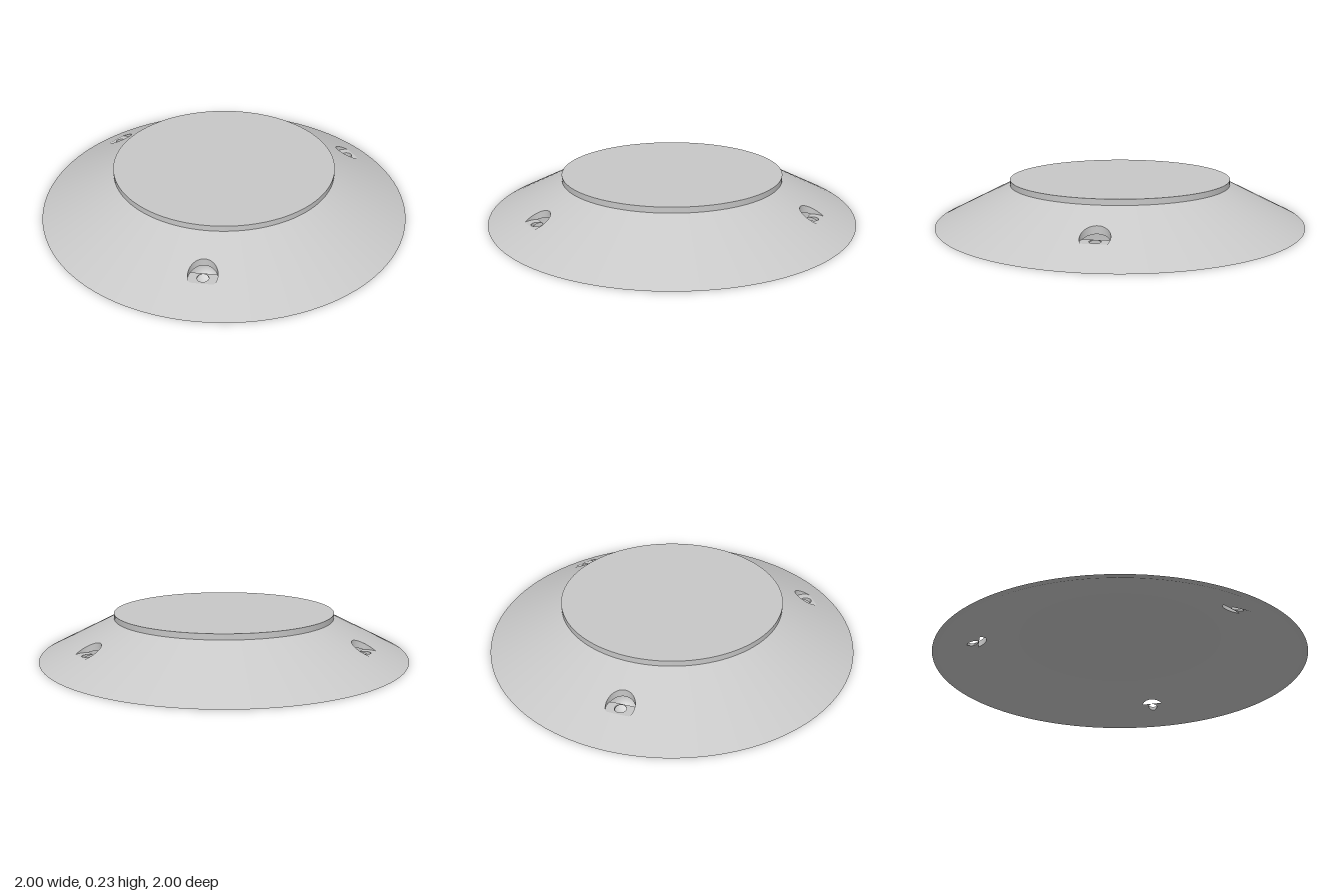
import * as THREE from 'three';

const STEP = Math.PI / 48;          // angular facet of the round body
const HALF = 2 * STEP;              // half width of a drilled sector
const HOLE_R = 0.8;                 // distance of the screw holes from the axis
const BORE = 0.07, DRILL = 0.028, FLOOR = 0.08, FLOOR_IN = 0.77, FLOOR_OUT = 0.84;
const N = 72;

// Heights of the outer and inner cone at radius r
const outerY = r => (1 - r) / 2;
const innerY = r => 0.4 * (0.97 - r);

// Distance along direction a from z = from to a circle centred at z = centre
function reach(from, a, centre, radius, near = false) {
  const d = from - centre, c = Math.cos(a);
  const q = d * d * c * c - d * d + radius * radius;
  if (q < 0 || (near && c > 0)) return Infinity;
  return -d * c + (near ? -1 : 1) * Math.sqrt(q);
}

// Closed plan outline around z = from, as points { x, z, r }
function outline(from, distance) {
  return Array.from({ length: N }, (_, i) => {
    const a = (i / N) * Math.PI * 2, p = distance(a);
    const x = p * Math.sin(a), z = from + p * Math.cos(a);
    return { x, z, r: Math.hypot(x, z) };
  });
}

// Closed strip between two outlines with a height rule for each
function loft(top, topY, bottom, bottomY) {
  const pos = [], index = [];
  top.forEach(p => pos.push(p.x, topY(p.r), p.z));
  bottom.forEach(p => pos.push(p.x, bottomY(p.r), p.z));
  for (let i = 0; i < N; i++) {
    const j = (i + 1) % N;
    index.push(i, j, N + j, i, N + j, N + i);
  }
  const g = new THREE.BufferGeometry();
  g.setAttribute('position', new THREE.Float32BufferAttribute(pos, 3));
  g.setIndex(index);
  g.computeVertexNormals();
  return g;
}

// Cone sector with cut-outs, laid out flat as (angle, radius) and then bent
function drilledSector(r0, r1, heightAt, slope, up, holes) {
  const pts = [];
  for (let i = -2; i <= 2; i++) pts.push(new THREE.Vector2(i * STEP, up * -r0));
  for (let i = 2; i >= -2; i--) pts.push(new THREE.Vector2(i * STEP, up * -r1));
  const shape = new THREE.Shape(pts);
  holes.forEach(h => shape.holes.push(new THREE.Path(
    h.map(p => new THREE.Vector2(Math.atan2(p.x, p.z), up * -p.r)))));
  const g = new THREE.ShapeGeometry(shape);
  const pos = g.attributes.position, nor = g.attributes.normal;
  const len = Math.hypot(1, slope);
  for (let i = 0; i < pos.count; i++) {
    const t = pos.getX(i), r = Math.abs(pos.getY(i));
    pos.setXYZ(i, r * Math.sin(t), heightAt(r), r * Math.cos(t));
    nor.setXYZ(i, up * slope * Math.sin(t) / len, up / len, up * slope * Math.cos(t) / len);
  }
  return g;
}

export function createModel() {
  const group = new THREE.Group();
  const grey = new THREE.MeshStandardMaterial({ color: 0xc8c8c8 });
  grey.name = 'plain grey';
  const add = (parent, name, geometry) => {
    const m = new THREE.Mesh(geometry, grey);
    m.name = name;
    parent.add(m);
    return m;
  };
  const band = (a, b, segs, start, length) => new THREE.LatheGeometry(
    [new THREE.Vector2(...a), new THREE.Vector2(...b)], segs, start, length);

  // Full rings and discs
  add(group, 'topDisc', band([0.6, 0.23], [0, 0.23], 96));
  add(group, 'topEdge', band([0.6, 0.2], [0.6, 0.23], 96));
  add(group, 'innerCeiling', band([0, 0.164], [0.56, 0.164], 96));
  add(group, 'bottomRim', band([0.97, 0], [1, 0], 96));

  // Plan outlines of the screw recess
  const boreEdge = outline(HOLE_R, a => Math.min(BORE, reach(HOLE_R, a, 0, FLOOR_OUT)));
  const floorEdge = outline(HOLE_R, a => Math.min(BORE,
    reach(HOLE_R, a, 0, FLOOR_OUT), reach(HOLE_R, a, 0, FLOOR_IN, true)));
  const drillEdge = outline(HOLE_R, () => DRILL);
  const slotEdge = outline(0.75, a => Math.min(
    reach(0.75, a, HOLE_R, BORE), reach(0.75, a, 0, FLOOR_IN)));
  const floorY = () => FLOOR;

  // Three plain sectors alternate with three drilled ones
  for (let k = 0; k < 3; k++) {
    const angle = Math.PI / 3 + k * Math.PI * 2 / 3;
    const length = Math.PI * 2 / 3 - 2 * HALF;
    add(group, 'slopedSkirt', band([1, 0], [0.6, 0.2], 28, angle + HALF, length));
    add(group, 'innerSkirt', band([0.56, 0.164], [0.97, 0], 28, angle + HALF, length));

    const hole = new THREE.Group();
    hole.name = 'screwHole';
    hole.rotation.y = angle;
    add(hole, 'drilledSkirt', drilledSector(0.6, 1, outerY, 0.5, 1, [boreEdge]));
    add(hole, 'drilledInnerSkirt',
      drilledSector(0.56, 0.97, innerY, 0.4, -1, [slotEdge, drillEdge]));
    add(hole, 'recessWall', loft(boreEdge, outerY, boreEdge, r => Math.max(FLOOR, innerY(r))));
    add(hole, 'recessFloor', loft(floorEdge, floorY, drillEdge, floorY));
    add(hole, 'drillWall', loft(drillEdge, floorY, drillEdge, innerY));
    group.add(hole);
  }
  return group;
}
